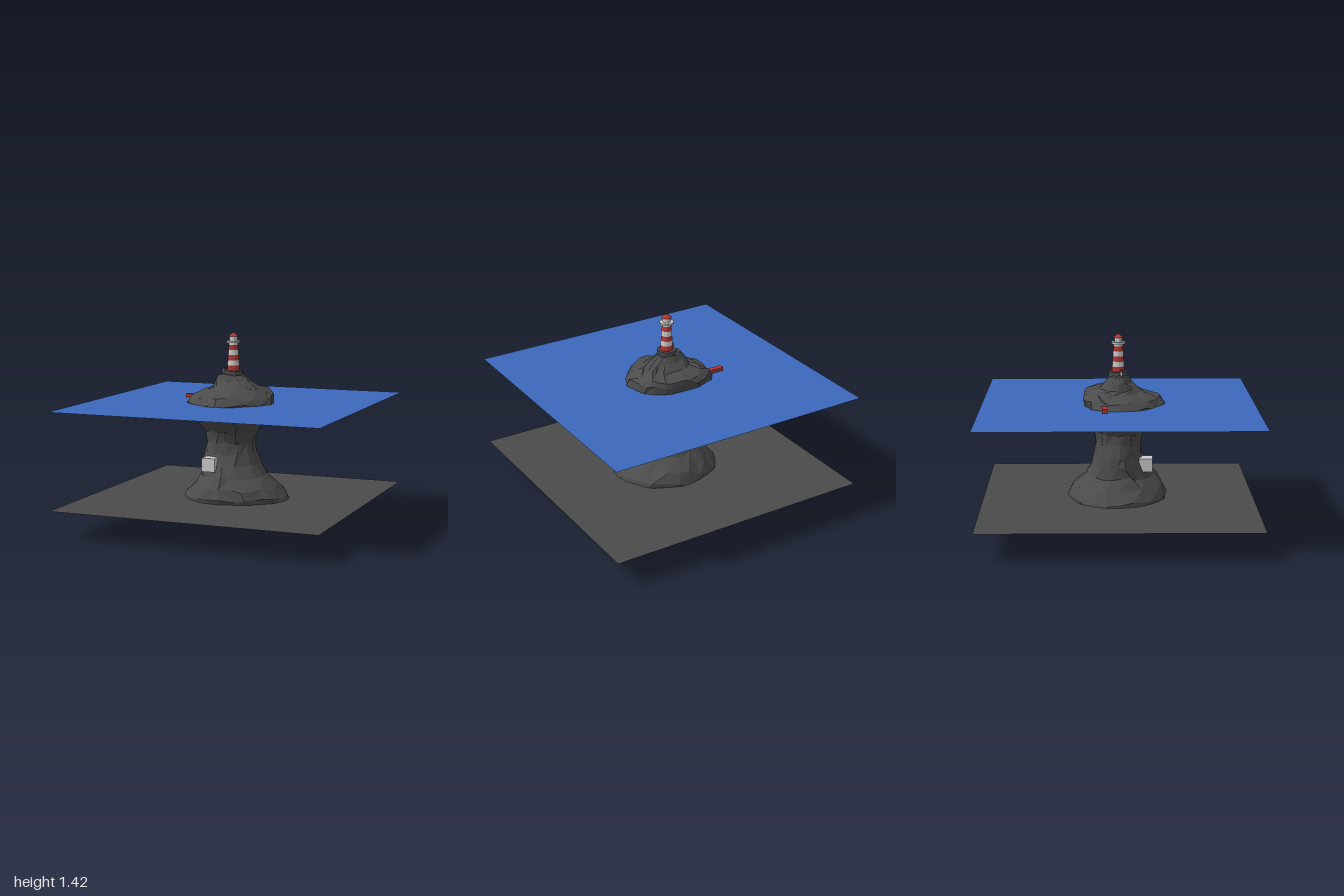
import * as THREE from 'three';

const material = (name, color, extra = {}) => {
  const m = new THREE.MeshStandardMaterial({ color, ...extra });
  m.name = name;
  return m;
};

// Rock cross-sections: y, min x, max x, min z, max z
const SECTIONS = [
  [0.0, -0.05, -0.04, 0.03, 0.04], [0.025, -0.18, 0.1, -0.12, 0.16],
  [0.06, -0.28, 0.24, -0.26, 0.25], [0.1, -0.34, 0.38, -0.33, 0.3],
  [0.17, -0.37, 0.43, -0.37, 0.34], [0.23, -0.36, 0.41, -0.37, 0.35],
  [0.3, -0.29, 0.34, -0.33, 0.335], [0.38, -0.23, 0.25, -0.25, 0.27],
  [0.46, -0.23, 0.2, -0.2, 0.21], [0.54, -0.22, 0.17, -0.18, 0.17],
  [0.62, -0.2, 0.16, -0.17, 0.165], [0.7, -0.2, 0.19, -0.18, 0.19],
  [0.77, -0.26, 0.24, -0.21, 0.26], [0.84, -0.34, 0.29, -0.25, 0.32],
  [0.91, -0.35, 0.31, -0.25, 0.34], [0.96, -0.31, 0.29, -0.265, 0.3],
  [1.0, -0.21, 0.24, -0.25, 0.2], [1.025, -0.16, 0.19, -0.14, 0.15],
  [1.07, -0.14, 0.13, -0.09, 0.1], [1.115, -0.11, 0.08, -0.07, 0.075],
  [1.125, -0.01, 0.01, -0.01, 0.01],
];

function rockGeometry() {
  const sides = 24, pos = [], index = [];
  const noise = (a, b) => {
    const s = Math.sin(a * 127.1 + b * 311.7) * 43758.5453;
    return (s - Math.floor(s)) * 2 - 1;
  };
  const power = (v, p) => Math.sign(v) * Math.abs(v) ** p;
  SECTIONS.forEach(([y, x0, x1, z0, z1], i) => {
    const upper = THREE.MathUtils.smoothstep(y, 0.65, 0.9);
    const wide = Math.min(1, (x1 - x0) / 0.4);
    for (let j = 0; j < sides; j++) {
      const t = ((j + 0.3 * noise(i, j + 50)) / sides) * Math.PI * 2;
      const c = Math.cos(t), s = Math.sin(t);
      // The upper rock is pointed at the front and squarer at the back
      const p = 1 + upper * (s > 0 ? 0.25 : -0.2);
      const k = 1 + 0.04 * wide * noise(i, j);
      pos.push(
        (x0 + x1) / 2 + ((x1 - x0) / 2) * power(c, p) * k,
        y + 0.014 * wide * noise(j, i + 9) * (i > 2 ? 1 : 0.3),
        (z0 + z1) / 2 + ((z1 - z0) / 2) * power(s, p) * k);
    }
  });
  for (let i = 0; i < SECTIONS.length - 1; i++) {
    for (let j = 0; j < sides; j++) {
      const n = (j + 1) % sides;
      const a = i * sides + j, c = i * sides + n, b = a + sides, d = c + sides;
      if ((i + j) % 2) index.push(a, b, c, b, d, c);
      else index.push(a, b, d, a, d, c);
    }
  }
  const g = new THREE.BufferGeometry();
  g.setAttribute('position', new THREE.Float32BufferAttribute(pos, 3));
  g.setIndex(index);
  g.computeVertexNormals();
  return g;
}

export function createModel() {
  const model = new THREE.Group();
  model.name = 'lighthouseRock';
  const stone = material('stone', 0x4c4c4c, { flatShading: true });
  const seabedGrey = material('seabedGrey', 0x4b4b4b, { side: THREE.DoubleSide });
  const waterBlue = material('waterBlue', 0x3c68bc, { side: THREE.DoubleSide });
  const red = material('red', 0xb03732, { flatShading: true });
  const white = material('white', 0xcccccc, { flatShading: true });

  const add = (name, geometry, mat, x = 0, y = 0, z = 0, parent = model) => {
    const mesh = new THREE.Mesh(geometry, mat);
    mesh.name = name;
    mesh.position.set(x, y, z);
    parent.add(mesh);
    return mesh;
  };

  // Sea surface and sea floor
  const sheet = new THREE.PlaneGeometry(2, 2).rotateX(-Math.PI / 2);
  add('water', sheet, waterBlue, 0, 0.91, 0);
  add('seabed', sheet, seabedGrey, 0, 0.205, 0);

  // Island, jetty and sunken block
  add('rock', rockGeometry(), stone);
  add('jetty', new THREE.BoxGeometry(0.2, 0.026, 0.04), red, -0.317, 0.929, -0.1);
  add('block', new THREE.BoxGeometry(0.1, 0.1, 0.1), white, -0.1, 0.47, 0.2);

  // Lighthouse
  const lighthouse = new THREE.Group();
  lighthouse.name = 'lighthouse';
  model.add(lighthouse);
  const drum = (name, bottom, top, y0, y1, mat, sides = 12) =>
    add(name, new THREE.CylinderGeometry(top, bottom, y1 - y0, sides), mat, 0, (y0 + y1) / 2, 0, lighthouse);

  drum('plinth', 0.07, 0.07, 1.1, 1.145, stone);
  const radius = (y) => THREE.MathUtils.mapLinear(y, 1.145, 1.35, 0.047, 0.033);
  const bands = [1.145, 1.183, 1.22, 1.258, 1.295, 1.333, 1.35];
  for (let i = 0; i < bands.length - 1; i++) {
    const [a, b] = [bands[i], bands[i + 1]];
    drum('towerBand', radius(a), radius(b), a, b, i % 2 ? white : red);
  }
  drum('gallery', 0.051, 0.051, 1.348, 1.362, white);
  drum('lantern', 0.028, 0.028, 1.362, 1.398, white);
  drum('roof', 0.038, 0.018, 1.396, 1.412, red);
  drum('roofCap', 0.018, 0.004, 1.412, 1.421, red);

  // Small post beside the tower
  add('post', new THREE.BoxGeometry(0.012, 0.03, 0.012), white, -0.065, 1.14, 0.022, lighthouse);
  add('postTop', new THREE.BoxGeometry(0.014, 0.01, 0.014), stone, -0.065, 1.16, 0.022, lighthouse);
  return model;
}
